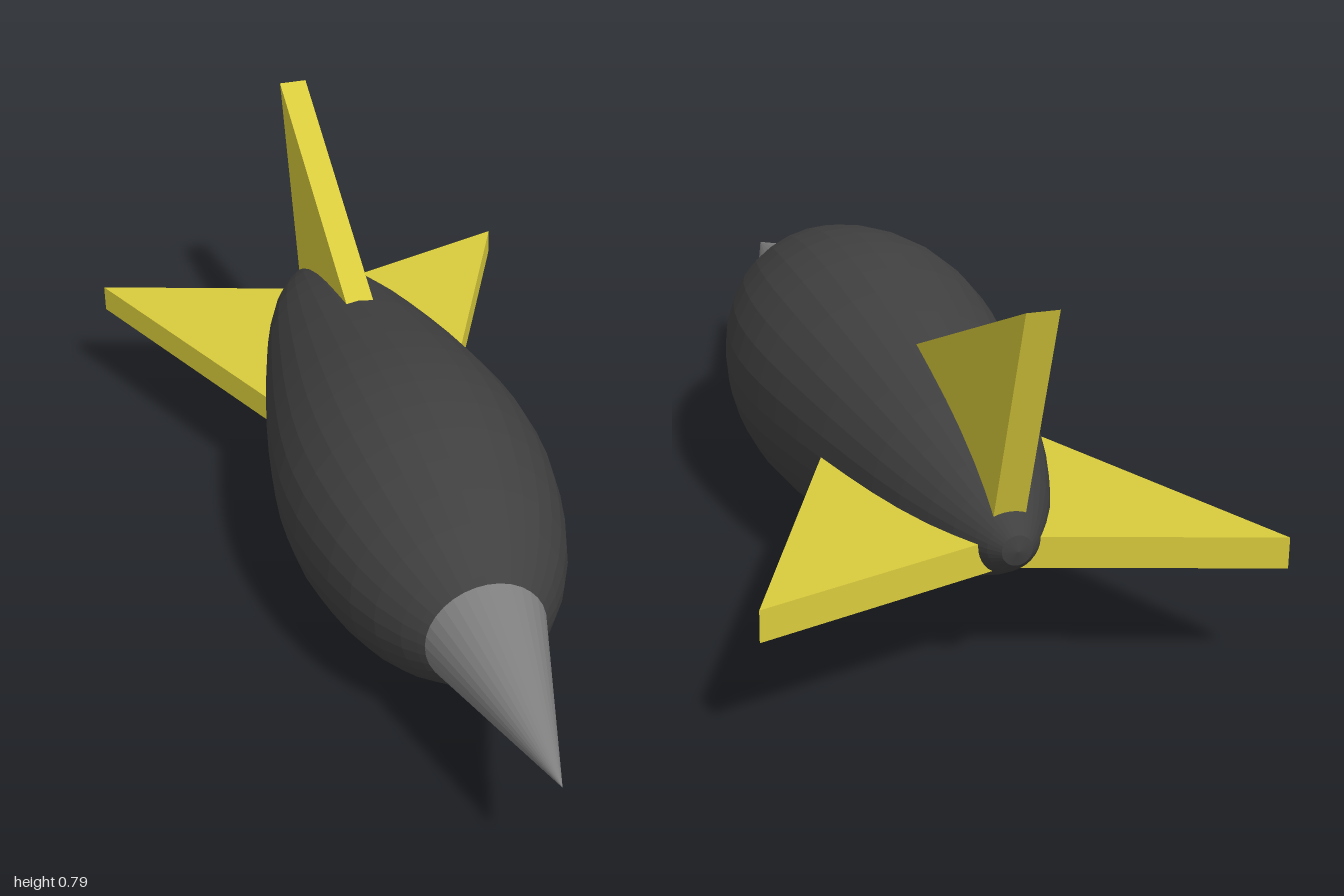
import * as THREE from 'three';

const AXIS_X = -0.005, AXIS_Y = 0.298, SIDES = 32;

// faceted normals
function facet(geometry) {
  const g = geometry.toNonIndexed();
  g.computeVertexNormals();
  return g;
}

export function createModel() {
  const group = new THREE.Group();
  const material = (name, color) => {
    const m = new THREE.MeshStandardMaterial({ color });
    m.name = name;
    return m;
  };
  const charcoal = material('charcoal', 0x404040);
  const grey = material('grey', 0x808080);
  const yellow = material('yellow', 0xd9cb3c);

  const add = (name, geometry, mat, x, y, z) => {
    const mesh = new THREE.Mesh(geometry, mat);
    mesh.name = name;
    mesh.position.set(x, y, z);
    group.add(mesh);
  };

  // Body: teardrop turned around the long axis, as [radius, z] from tail to front
  const profile = [
    [0, -0.91], [0.03, -0.903], [0.05, -0.88], [0.066, -0.855], [0.092, -0.81],
    [0.122, -0.75], [0.153, -0.67], [0.18, -0.585], [0.205, -0.49], [0.229, -0.39],
    [0.251, -0.29], [0.27, -0.19], [0.284, -0.1], [0.292, -0.02], [0.294, 0.05],
    [0.29, 0.13], [0.278, 0.21], [0.26, 0.29], [0.235, 0.37], [0.203, 0.44],
    [0.165, 0.5], [0.14, 0.53], [0.126, 0.545], [0, 0.545],
  ].map(([r, z]) => new THREE.Vector2(r, z));
  const body = new THREE.LatheGeometry(profile, SIDES).rotateX(Math.PI / 2);
  add('body', facet(body), charcoal, AXIS_X, AXIS_Y, 0);

  // Pointed nose
  const nose = new THREE.ConeGeometry(0.128, 0.455, SIDES).rotateX(Math.PI / 2);
  add('noseCone', facet(nose), grey, AXIS_X, AXIS_Y, 0.7725);

  // Swept triangular fins, rooted inside the body
  const fin = (reach) => {
    const shape = new THREE.Shape([
      new THREE.Vector2(0, 0.09),
      new THREE.Vector2(0, -0.845),
      new THREE.Vector2(reach, -1),
    ]);
    return new THREE.ExtrudeGeometry(shape, { depth: 0.063, bevelEnabled: false })
      .rotateX(Math.PI / 2);
  };
  add('leftFin', fin(0.502), yellow, 0, 0.3, 0);
  add('rightFin', fin(-0.502), yellow, 0, 0.3, 0);
  add('topFin', fin(0.492).rotateZ(Math.PI / 2), yellow, -0.036, 0.3, 0);

  return group;
}
